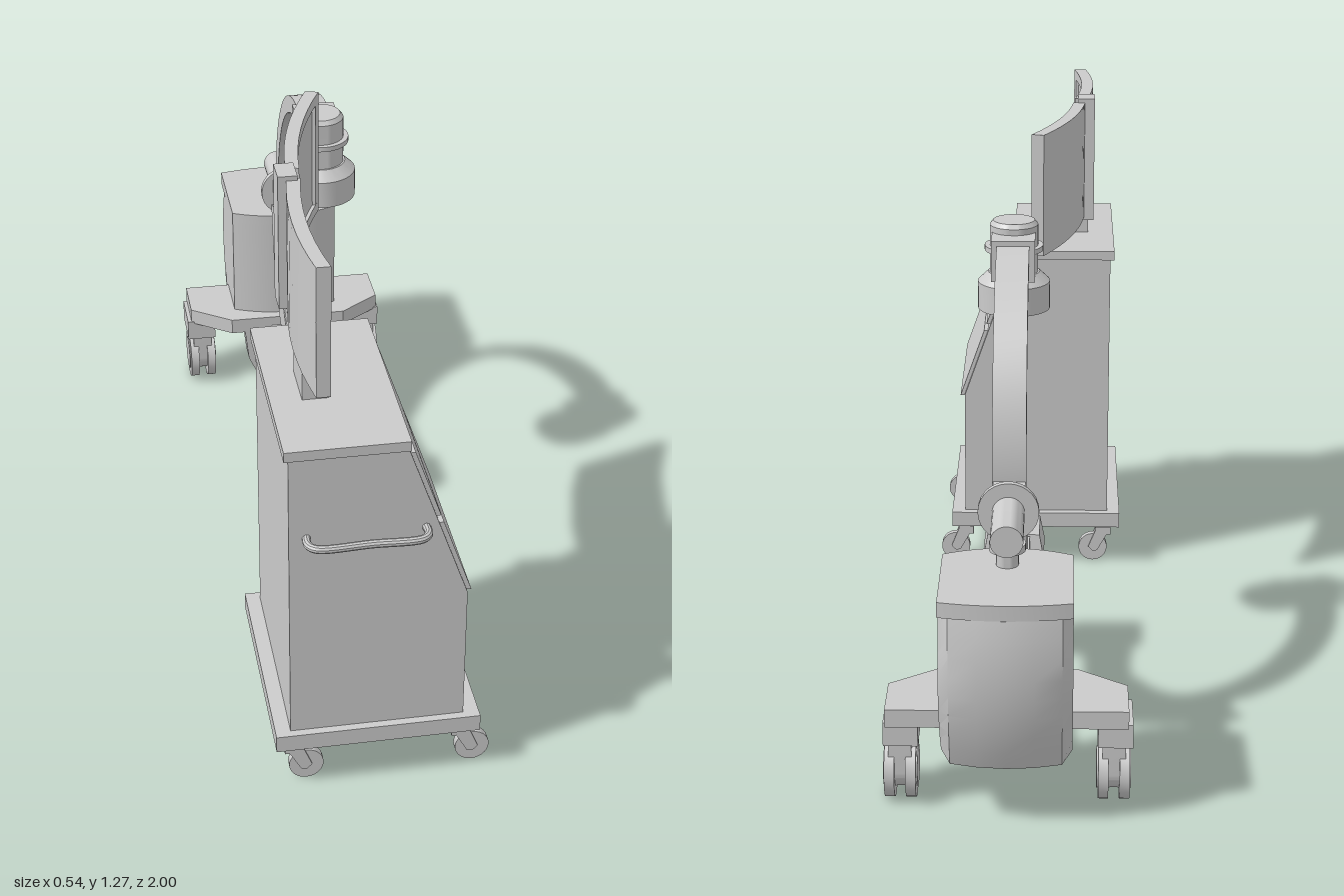
import * as THREE from 'three';
import { toCreasedNormals } from 'three/addons/utils/BufferGeometryUtils.js';

const material = new THREE.MeshStandardMaterial({ color: 0xcccccc, side: THREE.DoubleSide });

function add(parent, name, geometry, x = 0, y = 0, z = 0) {
  const mesh = new THREE.Mesh(toCreasedNormals(geometry, 0.6), material);
  mesh.name = name;
  mesh.position.set(x, y, z);
  parent.add(mesh);
  return mesh;
}

function group(parent, name, x = 0, y = 0, z = 0) {
  const g = new THREE.Group();
  g.name = name;
  g.position.set(x, y, z);
  parent.add(g);
  return g;
}

// Box given by its lower and upper limits on each axis
function block(parent, name, [x0, x1], [y0, y1], [z0, z1]) {
  return add(parent, name, new THREE.BoxGeometry(x1 - x0, y1 - y0, z1 - z0), (x0 + x1) / 2, (y0 + y1) / 2, (z0 + z1) / 2);
}

const polygon = (points) => new THREE.Shape(points.map(([a, b]) => new THREE.Vector2(a, b)));
const extrude = (shape, depth) => new THREE.ExtrudeGeometry(shape, { depth, bevelEnabled: false, curveSegments: 20 });
// (z, y) outline, centred on x
const sideways = (shape, width) => extrude(shape, width).translate(0, 0, -width / 2).rotateY(-Math.PI / 2);
// (x, z) outline, from y0 up to y1
const upright = (shape, y0, y1) => extrude(shape, y1 - y0).rotateX(Math.PI / 2).translate(0, y1, 0);
const cylinderX = (r, w) => new THREE.CylinderGeometry(r, r, w, 28).rotateZ(Math.PI / 2);
const cylinderZ = (r, w) => new THREE.CylinderGeometry(r, r, w, 28).rotateX(Math.PI / 2);
const lathe = (points) => new THREE.LatheGeometry(points.map(([r, y]) => new THREE.Vector2(r, y)), 36);

// Upright rounded cover around a wheel, in the (z, y) plane
function pill(half, bottom, top) {
  const s = new THREE.Shape();
  s.moveTo(half, bottom + half);
  s.lineTo(half, top - half);
  s.absarc(0, top - half, half, 0, Math.PI, false);
  s.lineTo(-half, bottom + half);
  s.absarc(0, bottom + half, half, Math.PI, Math.PI * 2, false);
  return s;
}

function monitor(parent, name, x, z, yaw) {
  const g = group(parent, name, x, 1.113, z);
  g.rotation.y = yaw;
  const length = 0.385, height = 0.297, rim = 0.024;
  // Bow each slab gently away from the viewer
  const slab = (part, thick, h, l, px, py, pz) => {
    const geo = new THREE.BoxGeometry(thick, h, l, 1, 1, 8).translate(px, py, pz);
    const p = geo.attributes.position;
    for (let i = 0; i < p.count; i++) p.setX(i, p.getX(i) + 0.008 - 0.018 * (1 - (2 * p.getZ(i) / length) ** 2));
    add(g, part, geo);
  };
  slab('screen', 0.022, height - 0.004, length - 0.004, -0.004, 0, 0);
  for (const s of [-1, 1]) {
    slab('bezelRail', 0.03, rim, length, 0, s * (height - rim) / 2, 0);
    slab('bezelPost', 0.03, height, rim, 0, 0, s * (length - rim) / 2);
  }
}

function createCart(root) {
  const cart = group(root, 'monitorCart');
  const body = polygon([[-0.237, 0.15], [0.143, 0.15], [0.143, 0.475], [0.01, 0.853], [-0.237, 0.853]]);
  add(cart, 'cabinet', extrude(body, 0.474), 0, 0, 0.476);
  block(cart, 'basePlate', [-0.27, 0.178], [0.11, 0.15], [0.455, 0.968]);
  block(cart, 'topPlate', [-0.247, 0.014], [0.852, 0.875], [0.463, 0.96]);

  // Sloping front panels
  const slope = (y) => 0.01 + (0.853 - y) * 0.352;
  for (const [lo, hi] of [[0.47, 0.65], [0.668, 0.83]]) {
    const panel = polygon([[slope(lo) - 0.01, lo], [slope(lo) + 0.01, lo], [slope(hi) + 0.01, hi], [slope(hi) - 0.01, hi]]);
    add(cart, 'slopingPanel', extrude(panel, 0.441), 0, 0, 0.492);
  }

  // Push handle
  const path = new THREE.CatmullRomCurve3([[-0.2, 0.945], [-0.2, 0.975], [-0.185, 0.991], [-0.07, 0.991],
    [0.035, 0.991], [0.05, 0.975], [0.05, 0.945]].map(([x, z]) => new THREE.Vector3(x, 0.655, z)));
  add(cart, 'pushHandle', new THREE.TubeGeometry(path, 48, 0.009, 10));

  // Swivel casters
  for (const x of [-0.2, 0.17]) for (const z of [0.5, 0.924]) {
    const c = group(cart, 'cartCaster', x, 0, z);
    add(c, 'wheel', cylinderZ(0.038, 0.018), 0, 0.038, 0);
    for (const s of [-1, 1]) {
      const cheek = polygon([[-0.048, 0.095], [-0.01, 0.095], [0.012, 0.04], [0, 0.028], [-0.012, 0.03]]);
      add(c, 'forkCheek', extrude(cheek, 0.005), 0, 0, s * 0.0125 - 0.0025);
    }
    block(c, 'forkCrown', [-0.048, -0.008], [0.076, 0.097], [-0.015, 0.015]);
    add(c, 'stem', new THREE.CylinderGeometry(0.013, 0.013, 0.03, 16), -0.028, 0.1, 0);
  }

  // Screen stand and the two hinged screens
  const stand = polygon([[-0.18, 0.87], [-0.123, 0.87], [-0.123, 0.92], [-0.152, 0.967], [-0.18, 0.967]]);
  for (const z of [0.655, 0.76]) add(cart, 'standCheek', extrude(stand, 0.01), 0, 0, z);
  block(cart, 'standCore', [-0.18, -0.148], [0.87, 1.0], [0.66, 0.765]);
  block(cart, 'screenHinge', [-0.192, -0.15], [0.957, 1.272], [0.47, 0.533]);
  monitor(cart, 'frontMonitor', -0.165, 0.715, 0);
  monitor(cart, 'rearMonitor', -0.11, 0.287, -0.265);
}

function createScannerArm(root) {
  const arm = group(root, 'scannerArm');
  const cz = -0.2, cy = 0.675, deg = Math.PI / 180;
  // Curved arm
  const c = new THREE.Shape();
  c.absarc(cz, cy, 0.4, 90 * deg, 242 * deg, false);
  c.absarc(cz, cy, 0.358, 242 * deg, 90 * deg, true);
  add(arm, 'curvedArm', sideways(c, 0.074));
  // Carriage hugging the lower rear of the arm
  const carriage = new THREE.Shape();
  carriage.absarc(cz, cy, 0.398, 190 * deg, 243 * deg, false);
  carriage.lineTo(-0.4, 0.278);
  carriage.splineThru([[-0.45, 0.27], [-0.53, 0.302], [-0.6, 0.38], [-0.645, 0.47], [-0.67, 0.58]].map(([a, b]) => new THREE.Vector2(a, b)));
  add(arm, 'carriage', sideways(carriage, 0.08));

  // Upper detector head with a hollow underside
  add(arm, 'detectorHead', lathe([[0, 0.93], [0.05, 0.93], [0.058, 0.9], [0.084, 0.9], [0.084, 0.965], [0.06, 0.988],
    [0.056, 0.988], [0.056, 1.1], [0.048, 1.11], [0, 1.11]]), 0, 0, -0.105);
  add(arm, 'detectorRing', new THREE.CylinderGeometry(0.068, 0.068, 0.012, 36), 0, 1.045, -0.105);
  block(arm, 'detectorBracket', [-0.05, 0.05], [0.99, 1.086], [-0.21, -0.12]);

  // Lower source head
  const neck = polygon([[-0.4, 0.285], [-0.4, 0.335], [-0.26, 0.335], [-0.18, 0.35], [-0.17, 0.275], [-0.26, 0.287]]);
  add(arm, 'sourceNeck', sideways(neck, 0.078));
  const taper = new THREE.CylinderGeometry(0.073 * Math.SQRT2, 0.06 * Math.SQRT2, 0.11, 4, 1).rotateY(Math.PI / 4);
  add(arm, 'sourceHousing', taper, 0, 0.235, -0.108);
  const cap = new THREE.CylinderGeometry(0.062 * Math.SQRT2, 0.073 * Math.SQRT2, 0.06, 4, 1).rotateY(Math.PI / 4);
  add(arm, 'sourceCap', cap, 0, 0.32, -0.108);
  add(arm, 'sourceWindow', new THREE.CylinderGeometry(0.026, 0.034, 0.035, 24), 0, 0.365, -0.108);

  // Pivot carrying the arm
  block(arm, 'pivotNeck', [-0.035, 0.035], [0.58, 0.655], [-0.67, -0.58]);
  add(arm, 'pivotCollar', cylinderZ(0.066, 0.015), 0, 0.617, -0.675);
  add(arm, 'pivotBarrel', cylinderZ(0.035, 0.165), 0, 0.617, -0.763);
  add(arm, 'liftFlange', new THREE.CylinderGeometry(0.039, 0.039, 0.016, 28), 0, 0.578, -0.772);
  add(arm, 'liftColumn', new THREE.CylinderGeometry(0.024, 0.024, 0.06, 24), 0, 0.55, -0.772);
}

function createScannerBase(root) {
  const base = group(root, 'scannerBase');
  // Cabinet and lid with bowed ends
  const plan = (back, bulge) => {
    const s = new THREE.Shape();
    s.moveTo(-0.14, back);
    s.quadraticCurveTo(0, back - bulge * 2, 0.14, back);
    s.lineTo(0.14, -0.72);
    s.quadraticCurveTo(0, -0.65, -0.14, -0.72);
    return s;
  };
  add(base, 'cabinet', upright(plan(-0.9, 0), 0.2, 0.51));
  add(base, 'lid', upright(plan(-0.968, 0.016), 0.502, 0.536));

  // Rear shell, rounded down its height and chamfered at the sides
  const shell = new THREE.BoxGeometry(2, 0.357, 1, 6, 8, 1);
  const p = shell.attributes.position;
  const bow = (t, a, b, c) => a * (1 - t) ** 2 + 2 * t * (1 - t) * b + c * t * t;
  for (let i = 0; i < p.count; i++) {
    const u = p.getX(i), a = Math.abs(u), t = p.getY(i) / 0.357 + 0.5;
    const x = a > 0.9 ? 0.14 : a > 0.6 ? 0.118 : 0.06 * a * 3;
    const edge = bow(t, -0.86, -1.021, -0.91), crown = bow(t, -0.945, -1.025, -0.985);
    const rear = a > 0.9 ? edge : crown + 0.02 * (x / 0.118) ** 2;
    p.setXYZ(i, Math.sign(u) * x, 0.145 + 0.357 * t, p.getZ(i) > 0 ? -0.84 : rear);
  }
  add(base, 'rearShell', shell);

  // Chassis plate
  add(base, 'chassisPlate', upright(polygon([[-0.26, -0.86], [0.26, -0.86], [0.26, -0.735], [0.155, -0.66],
    [-0.155, -0.66], [-0.26, -0.735]]), 0.195, 0.236));

  // Big twin wheels on each side
  for (const s of [-1, 1]) {
    const w = group(base, 'sideWheel', s * 0.23, 0, -0.79);
    for (const k of [-1, 1]) {
      add(w, 'tyre', cylinderX(0.068, 0.022), k * 0.023, 0.068, 0);
      add(w, 'hub', cylinderX(0.045, 0.028), k * 0.023, 0.068, 0);
    }
    add(w, 'wheelCover', sideways(pill(0.05, 0.025, 0.21), 0.05));
    block(w, 'wheelMount', [-0.04, 0.035], [0.145, 0.2], [-0.06, 0.06]);
  }

  // Front leg
  const block2 = polygon([[-0.12, 0.2], [-0.11, 0.11], [-0.088, 0.062], [0.088, 0.062], [0.11, 0.11], [0.12, 0.2]]);
  add(base, 'legBlock', extrude(block2, 0.06), 0, 0, -0.72);
  const leg = new THREE.Shape();
  leg.moveTo(-0.7, 0.065);
  leg.lineTo(-0.57, 0.065);
  leg.lineTo(-0.55, 0.11);
  leg.lineTo(-0.445, 0.11);
  leg.lineTo(-0.445, 0.135);
  leg.lineTo(-0.57, 0.137);
  leg.quadraticCurveTo(-0.635, 0.145, -0.65, 0.21);
  leg.lineTo(-0.7, 0.21);
  add(base, 'frontLeg', sideways(leg, 0.09));
  const f = group(base, 'frontCaster', 0, 0, -0.51);
  for (const k of [-1, 1]) add(f, 'tyre', cylinderX(0.055, 0.016), k * 0.014, 0.055, 0);
  add(f, 'casterCover', sideways(pill(0.035, 0.03, 0.125), 0.024));
}

export function createModel() {
  const root = new THREE.Group();
  root.name = 'mobileScanner';
  createCart(root);
  createScannerArm(root);
  createScannerBase(root);
  return root;
}
